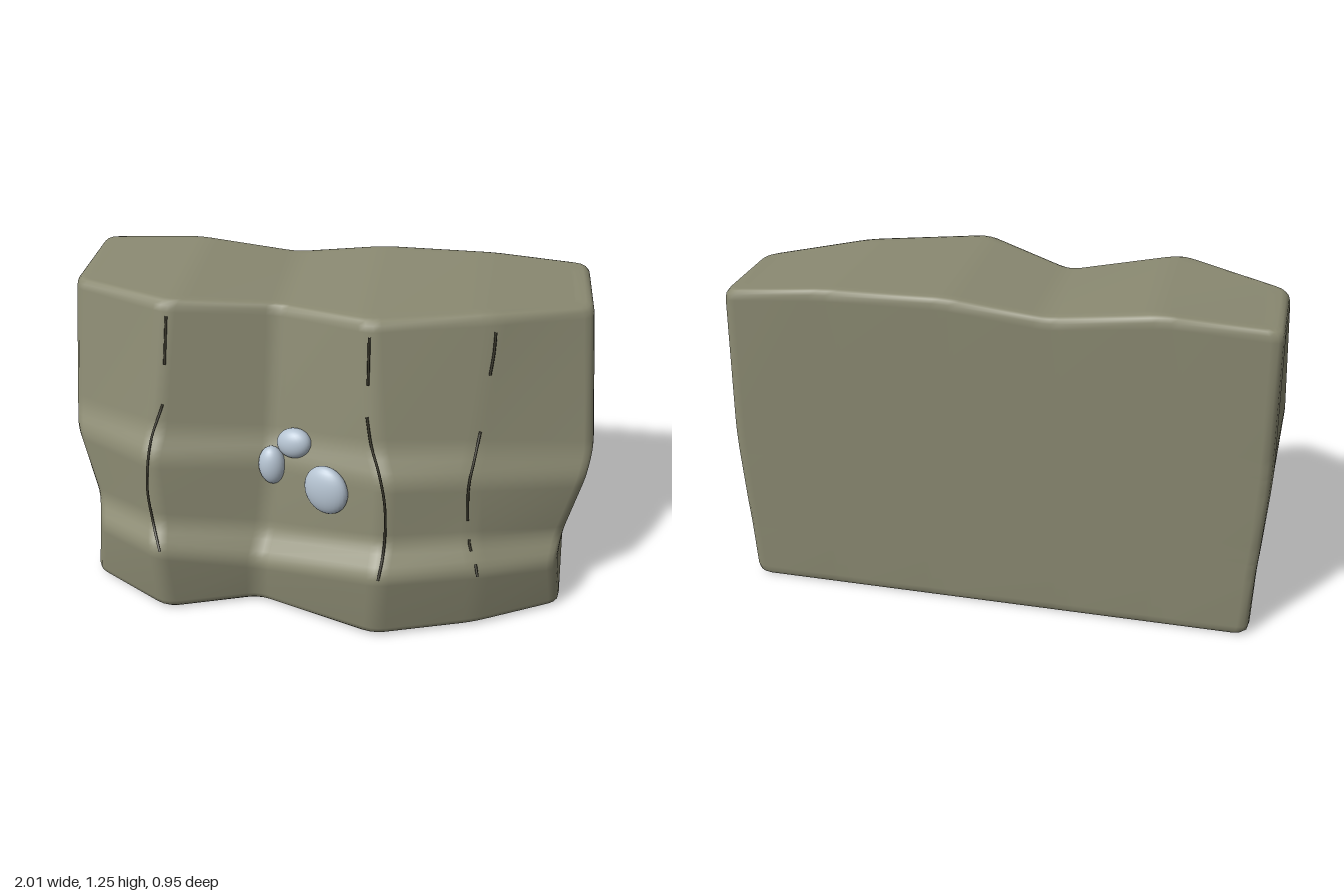
import * as THREE from 'three';

const V = (x, y, z) => new THREE.Vector3(x, y, z);

// Cut a corner b (between a and c) into four points of a small curve
function roundCorner(a, b, c, r) {
  const toward = (p) => b.clone().lerp(p, Math.min(0.45, r / Math.max(1e-6, b.distanceTo(p))));
  const curve = new THREE.QuadraticBezierCurve3(toward(a), b, toward(c));
  return [0, 1 / 3, 2 / 3, 1].map((t) => curve.getPoint(t));
}

// Front face columns from right to left of the block, each listed from the ground up:
// base, ledge lip, ledge back, middle lip, middle back, top
const COLUMNS = [
  [[-0.945, 0, 0.15], [-0.90, 0.28, 0.20], [-0.92, 0.35, 0.11], [-1.0, 0.63, 0.06], [-1.01, 0.71, 0.0], [-0.98, 1.215, -0.07]],
  [[-0.61, 0, 0.36], [-0.62, 0.31, 0.40], [-0.63, 0.39, 0.32], [-0.65, 0.66, 0.30], [-0.63, 0.75, 0.235], [-0.59, 1.235, 0.135]],
  [[-0.26, 0, 0.25], [-0.25, 0.21, 0.28], [-0.23, 0.31, 0.20], [-0.20, 0.61, 0.165], [-0.20, 0.69, 0.115], [-0.19, 1.19, 0.02]],
  [[0.22, 0, 0.425], [0.23, 0.31, 0.465], [0.24, 0.40, 0.37], [0.24, 0.66, 0.36], [0.20, 0.76, 0.29], [0.16, 1.23, 0.205]],
  [[0.60, 0, 0.31], [0.60, 0.29, 0.345], [0.57, 0.38, 0.275], [0.55, 0.63, 0.26], [0.56, 0.73, 0.195], [0.60, 1.225, 0.08]],
  [[0.935, 0, 0.14], [0.90, 0.24, 0.185], [0.92, 0.31, 0.10], [0.99, 0.57, 0.09], [1.01, 0.66, 0.035], [0.96, 1.195, -0.09]],
];
const BACK_Z = -0.475;
const BACK_X = [0.955, 0.965, 0.97, 0.98, 0.98, 0.97];

function rockGeometry() {
  // One closed outline per level: front left to right, then back right to left
  const rows = BACK_X.map((bx, r) => {
    const front = COLUMNS.map((c) => V(...c[r]));
    const back = front.map((p, i) => {
      const x = i === 0 ? -bx : i === 5 ? bx - (r === 5 ? 0.01 : 0) : p.x;
      return V(x, p.y + (r === 5 ? 0.012 : 0), BACK_Z);
    }).reverse();
    return front.concat(back);
  });
  // Inset outlines that bevel the bottom and top edges
  const inset = (row) => row.map((p) => V(p.x * 0.93, p.y, -0.2 + (p.z + 0.2) * 0.82));
  rows.unshift(inset(rows[0]));
  rows.push(inset(rows[rows.length - 1]));

  // Round the upright edges, then the level ones
  const rings = rows.map((row) => row.flatMap((p, i) =>
    roundCorner(row[(i + 11) % 12], p, row[(i + 1) % 12], 0.045)));
  const n = rings[0].length;
  const strips = rings[0].map((_, k) => {
    const path = rings.map((ring) => ring[k]);
    return path.flatMap((p, j) => (j === 0 || j === path.length - 1
      ? [p] : roundCorner(path[j - 1], p, path[j + 1], 0.04)));
  });
  const m = strips[0].length;

  const points = [];
  const index = [];
  for (let j = 0; j < m; j++) for (let k = 0; k < n; k++) points.push(strips[k][j]);
  for (let j = 0; j < m - 1; j++) {
    for (let k = 0; k < n; k++) {
      const a = j * n + k, b = j * n + (k + 1) % n;
      index.push(a, b, b + n, a, b + n, a + n);
    }
  }
  // Bottom and top caps join each front point to the back point behind it
  const top = (m - 1) * n;
  for (let k = 0; k < n / 2 - 1; k++) {
    const a = k, b = k + 1, c = n - 2 - k, d = n - 1 - k;
    index.push(top + a, top + b, top + c, top + a, top + c, top + d);
    index.push(a, c, b, a, d, c);
  }
  const geo = new THREE.BufferGeometry().setFromPoints(points);
  geo.setIndex(index);
  geo.computeVertexNormals();
  return geo;
}

// Cracks as lines running down the front face
const CRACKS = [
  [[-0.58, 1.18, 0.14], [-0.585, 1.09, 0.15], [-0.59, 1.0, 0.17]],
  [[-0.60, 0.85, 0.2], [-0.64, 0.72, 0.27], [-0.653, 0.56, 0.32], [-0.64, 0.40, 0.33], [-0.60, 0.32, 0.41]],
  [[0.165, 1.18, 0.22], [0.165, 1.09, 0.23], [0.165, 1.0, 0.24]],
  [[0.165, 0.88, 0.26], [0.185, 0.78, 0.29], [0.22, 0.71, 0.36], [0.245, 0.6, 0.385], [0.25, 0.45, 0.375], [0.245, 0.36, 0.405], [0.235, 0.31, 0.475]],
  [[0.605, 1.17, 0.105], [0.603, 1.09, 0.115], [0.595, 1.01, 0.13]],
  [[0.575, 0.80, 0.17], [0.56, 0.72, 0.235], [0.545, 0.62, 0.275], [0.55, 0.47, 0.275]],
  [[0.56, 0.39, 0.28], [0.563, 0.37, 0.29], [0.57, 0.35, 0.3]],
  [[0.59, 0.31, 0.33], [0.595, 0.295, 0.35], [0.6, 0.28, 0.365]],
];

export function createModel() {
  const model = new THREE.Group();
  const stone = new THREE.MeshStandardMaterial({ color: 0x8b8a72 });
  stone.name = 'olive stone';
  const dark = new THREE.MeshStandardMaterial({ color: 0x3a382c });
  dark.name = 'dark crack';
  const pale = new THREE.MeshStandardMaterial({ color: 0xb6c4d2 });
  pale.name = 'pale blue';

  const rock = new THREE.Mesh(rockGeometry(), stone);
  rock.name = 'rockWall';
  model.add(rock);

  // Thin cracks, kept just proud of the rock
  const ray = new THREE.Raycaster();
  const cracks = new THREE.Group();
  cracks.name = 'cracks';
  CRACKS.forEach((pts) => {
    const line = new THREE.CatmullRomCurve3(pts.map((p) => V(...p))).getPoints(24);
    line.forEach((p) => {
      ray.set(V(p.x, p.y, 2), V(0, 0, -1));
      const hit = ray.intersectObject(rock)[0];
      if (hit) p.z = Math.max(p.z, hit.point.z + 0.002);
    });
    const mesh = new THREE.Mesh(new THREE.TubeGeometry(new THREE.CatmullRomCurve3(line), 40, 0.005, 6), dark);
    mesh.name = 'crack';
    cracks.add(mesh);
  });
  model.add(cracks);

  // Cluster of smooth pebbles set in the hollow: centre, half sizes, yaw, roll
  const pebbles = new THREE.Group();
  pebbles.name = 'pebbles';
  [
    [[-0.2, 0.595, 0.175], [0.052, 0.08, 0.045], 0, 0.05],
    [[-0.115, 0.695, 0.17], [0.072, 0.06, 0.045], -0.35, 0.4],
    [[0.02, 0.57, 0.285], [0.09, 0.1, 0.045], -0.4, 0],
  ].forEach(([pos, size, yaw, roll]) => {
    const mesh = new THREE.Mesh(new THREE.SphereGeometry(1, 28, 18), pale);
    mesh.name = 'pebble';
    mesh.position.set(...pos);
    mesh.scale.set(...size);
    mesh.rotation.set(0, yaw, roll);
    pebbles.add(mesh);
  });
  model.add(pebbles);
  return model;
}
